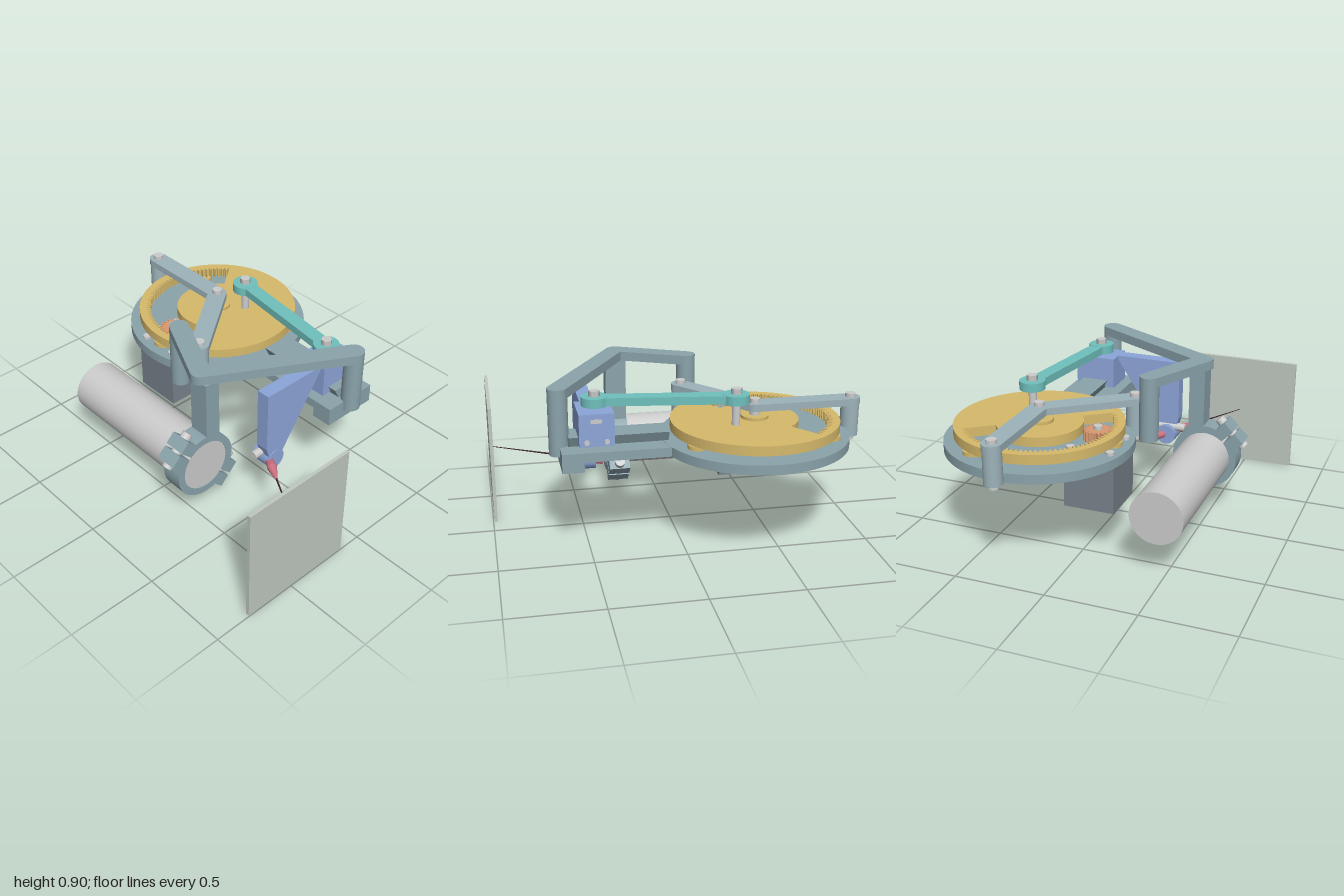
import * as THREE from 'three';

const mat = (color) => new THREE.MeshStandardMaterial({ color });
const M = {
  frame: mat(0x8aa3ab), light: mat(0x9db3ba), gold: mat(0xd6b96b), teal: mat(0x6fc0bd),
  blue: mat(0x8ca5d8), copper: mat(0xd99a70), pink: mat(0xcc7080), plate: mat(0xbfc8bf),
  dark: mat(0x78828b), needle: mat(0x40242c), grey: mat(0xcccccc),
};

export function createModel() {
  const root = new THREE.Group();

  const add = (name, geo, m) => {
    const mesh = new THREE.Mesh(geo, m);
    mesh.name = name;
    root.add(mesh);
    return mesh;
  };
  // Box given by its limits on each axis
  const box = (name, m, x0, x1, y0, y1, z0, z1) => {
    const b = add(name, new THREE.BoxGeometry(x1 - x0, y1 - y0, z1 - z0), m);
    b.position.set((x0 + x1) / 2, (y0 + y1) / 2, (z0 + z1) / 2);
    return b;
  };
  // Upright cylinder
  const post = (name, m, x, z, r, y0, y1, sides = 32) => {
    const c = add(name, new THREE.CylinderGeometry(r, r, y1 - y0, sides), m);
    c.position.set(x, (y0 + y1) / 2, z);
    return c;
  };
  // Cylinder between two points, optionally tapered
  const rod = (name, m, a, b, r0, r1 = r0, sides = 24) => {
    const A = new THREE.Vector3(...a), B = new THREE.Vector3(...b);
    const c = add(name, new THREE.CylinderGeometry(r1, r0, A.distanceTo(B), sides), m);
    c.position.copy(A).add(B).multiplyScalar(0.5);
    c.quaternion.setFromUnitVectors(new THREE.Vector3(0, 1, 0), B.sub(A).normalize());
    return c;
  };
  // Flat plate from a plan outline (shape y = -z)
  const slab = (name, m, shape, y0, y1, curveSegments = 48) => {
    const g = new THREE.ExtrudeGeometry(shape, { depth: y1 - y0, bevelEnabled: false, curveSegments });
    g.rotateX(-Math.PI / 2);
    const s = add(name, g, m);
    s.position.y = y0;
    return s;
  };
  // Round-ended bar between two plan points
  const bar = (name, m, [x0, z0], [x1, z1], r, y0, y1) => {
    const a = Math.atan2(z0 - z1, x1 - x0), h = Math.PI / 2;
    const s = new THREE.Shape();
    s.absarc(x1, -z1, r, a - h, a + h, false);
    s.absarc(x0, -z0, r, a + h, a + 3 * h, false);
    s.closePath();
    slab(name, m, s, y0, y1, 16);
  };

  const CX = 0.28, CZ = -0.41, PX = -0.055;

  // Base plate, guide arm and dovetail rail
  post('baseDisc', M.frame, CX, CZ, 0.51, 0.54, 0.592, 96);
  box('baseArm', M.frame, 0.12, 0.44, 0.541, 0.591, -0.05, 0.645);
  box('baseFoot', M.frame, 0.12, 0.44, 0.487, 0.541, 0.53, 0.645);
  const dove = new THREE.Shape([[0.235, 0.59], [0.325, 0.59], [0.355, 0.648], [0.205, 0.648]]
    .map((p) => new THREE.Vector2(...p)));
  const rail = add('dovetailRail', new THREE.ExtrudeGeometry(dove, { depth: 0.53, bevelEnabled: false }), M.frame);
  rail.position.z = 0.07;

  // Ring wheel with toothed half-ring slot
  const wheel = new THREE.Shape();
  wheel.absarc(0, 0, 0.456, 0, Math.PI * 2, false);
  const slot = new THREE.Path();
  const a0 = 0.655, a1 = a0 + Math.PI, teeth = 52;
  slot.absarc(0, 0, 0.235, a1, a0, true);
  for (let i = 0; i < teeth; i++) {
    [[0, 0.415], [0.3, 0.415], [0.5, 0.393], [0.8, 0.393]].forEach(([f, r]) => {
      const t = a0 + ((i + f) / teeth) * (a1 - a0);
      slot.lineTo(r * Math.cos(t), r * Math.sin(t));
    });
  }
  slot.lineTo(0.415 * Math.cos(a1), 0.415 * Math.sin(a1));
  slot.closePath();
  wheel.holes.push(slot);
  slab('ringWheel', M.gold, wheel, 0.62, 0.673).position.set(CX, 0.62, CZ);
  post('wheelHub', M.gold, CX, CZ, 0.075, 0.592, 0.69);
  post('wheelAxle', M.grey, CX, CZ, 0.027, 0.53, 0.78);

  // Support rollers below the wheel
  for (const t of [Math.PI / 3, -Math.PI / 3, Math.PI]) {
    const x = CX + 0.417 * Math.cos(t), z = CZ - 0.417 * Math.sin(t);
    post('supportRoller', M.gold, x, z, 0.05, 0.597, 0.619);
    post('rollerScrew', M.grey, x, z, 0.028, 0.515, 0.6);
  }

  // Drive motor and pinion
  box('driveMotor', M.dark, PX - 0.14, PX + 0.14, 0.27, 0.54, -0.547, -0.267);
  const gear = new THREE.Shape();
  for (let i = 0; i < 18; i++) {
    [[0, 0.06], [0.25, 0.06], [0.45, 0.076], [0.75, 0.076]].forEach(([f, r]) => {
      const t = ((i + f) / 18) * Math.PI * 2;
      gear[i + f ? 'lineTo' : 'moveTo'](r * Math.cos(t), r * Math.sin(t));
    });
  }
  gear.closePath();
  slab('pinion', M.copper, gear, 0.615, 0.675).position.set(PX, 0.615, CZ);
  post('pinionShaft', M.grey, PX, CZ, 0.023, 0.53, 0.695);
  for (const sx of [-1, 1]) for (const sz of [-1, 1])
    post('motorScrew', M.grey, PX + sx * 0.11, CZ + sz * 0.11, 0.022, 0.58, 0.608);

  // Bridge over the wheel
  const bridge = [[CX, -0.947], [CX, CZ], [-0.14, -0.09]];
  bar('bridgeBar', M.light, bridge[0], bridge[1], 0.053, 0.718, 0.757);
  bar('bridgeBar', M.light, bridge[1], bridge[2], 0.053, 0.718, 0.757);
  for (const [x, z] of [bridge[0], bridge[2]]) {
    post('bridgePost', M.light, x, z, 0.05, 0.54, 0.72);
    post('bridgeBolt', M.grey, x, z, 0.028, 0.515, 0.778);
  }

  // Upper frame with its columns
  const frame = [[0.28, 0.645], [-0.422, 0.24], [-0.238, -0.14]];
  bar('upperBar', M.frame, frame[0], frame[1], 0.053, 0.848, 0.9);
  bar('upperBar', M.frame, frame[1], frame[2], 0.053, 0.848, 0.9);
  post('frontColumn', M.frame, ...frame[0], 0.053, 0.538, 0.85);
  post('rearColumn', M.frame, ...frame[2], 0.053, 0.538, 0.85);
  box('clampColumn', M.frame, -0.445, -0.357, 0.49, 0.85, 0.19, 0.308);

  // Long motor held in a split clamp
  const MX = -0.456, MY = 0.335;
  rod('longMotor', M.grey, [MX, MY, -0.635], [MX, MY, 0.304], 0.145, 0.145, 64);
  const clamp = new THREE.Group();
  clamp.name = 'splitClamp';
  clamp.position.set(MX, MY, 0.188);
  clamp.rotation.z = -Math.PI / 4;
  root.add(clamp);
  for (const s of [1, -1]) {
    const half = new THREE.Shape();
    const g = 0.008;
    half.moveTo(0.235, g);
    half.lineTo(0.235, 0.078);
    half.lineTo(0.168, 0.078);
    half.absarc(0, 0, 0.185, 0.435, Math.PI - 0.435, false);
    half.lineTo(-0.235, 0.078);
    half.lineTo(-0.235, g);
    half.lineTo(-0.145, g);
    half.absarc(0, 0, 0.145, Math.PI - 0.055, 0.055, true);
    half.closePath();
    const m = new THREE.Mesh(new THREE.ExtrudeGeometry(half,
      { depth: 0.12, bevelEnabled: false, curveSegments: 32 }), M.frame);
    m.name = 'clampHalf';
    if (s < 0) { m.rotation.z = Math.PI; }
    const bolt = new THREE.Mesh(new THREE.CylinderGeometry(0.028, 0.028, 0.21, 24), M.grey);
    bolt.name = 'clampBolt';
    bolt.position.set(s * 0.203, 0.005, 0.06);
    clamp.add(m, bolt);
  }

  // Sliding carriage with hanging arm
  box('carriage', M.blue, 0.165, 0.397, 0.608, 0.783, 0.365, 0.55);
  box('carriageNut', M.grey, 0.26, 0.4, 0.733, 0.755, 0.43, 0.49);
  for (const z of [0.405, 0.51]) rod('gibScrew', M.grey, [0.36, 0.632, z], [0.402, 0.632, z], 0.014);
  const arm = new THREE.Shape([[-0.215, 0.783], [-0.215, 0.43], [-0.185, 0.33], [-0.1, 0.33],
    [-0.1, 0.36], [0.165, 0.755], [0.165, 0.783]].map((p) => new THREE.Vector2(...p)));
  add('hangingArm', new THREE.ExtrudeGeometry(arm, { depth: 0.075, bevelEnabled: false }), M.blue)
    .position.z = 0.445;

  // Tool holder, probe and needle
  rod('toolHolder', M.blue, [-0.15, 0.337, 0.408], [-0.15, 0.337, 0.525], 0.058);
  rod('holderBolt', M.grey, [-0.255, 0.378, 0.458], [-0.07, 0.378, 0.458], 0.024);
  const at = (z) => [-0.19 - (z - 0.52) * 0.575, 0.337, z];
  rod('probeBody', M.pink, at(0.37), at(0.54), 0.022);
  rod('probeCollar', M.pink, at(0.525), at(0.56), 0.022, 0.027);
  rod('probeNose', M.pink, at(0.56), at(0.64), 0.027, 0.007);
  rod('needle', M.needle, at(0.63), at(0.975), 0.005, 0.002, 8);

  // Connecting link from wheel pin to carriage
  const pin = [0.38, -0.28], end = [0.277, 0.453];
  bar('link', M.teal, pin, end, 0.04, 0.798, 0.842);
  for (const [[x, z], y0] of [[pin, 0.66], [end, 0.77]]) {
    post('linkBoss', M.teal, x, z, 0.071, 0.796, 0.844);
    post('linkPin', M.grey, x, z, 0.022, y0, 0.85);
    post('linkNut', M.grey, x, z, 0.03, 0.844, 0.874, 6);
  }

  // Target panel
  box('targetPanel', M.plate, -0.79, -0.125, 0, 0.675, 0.976, 0.995);

  return root;
}
